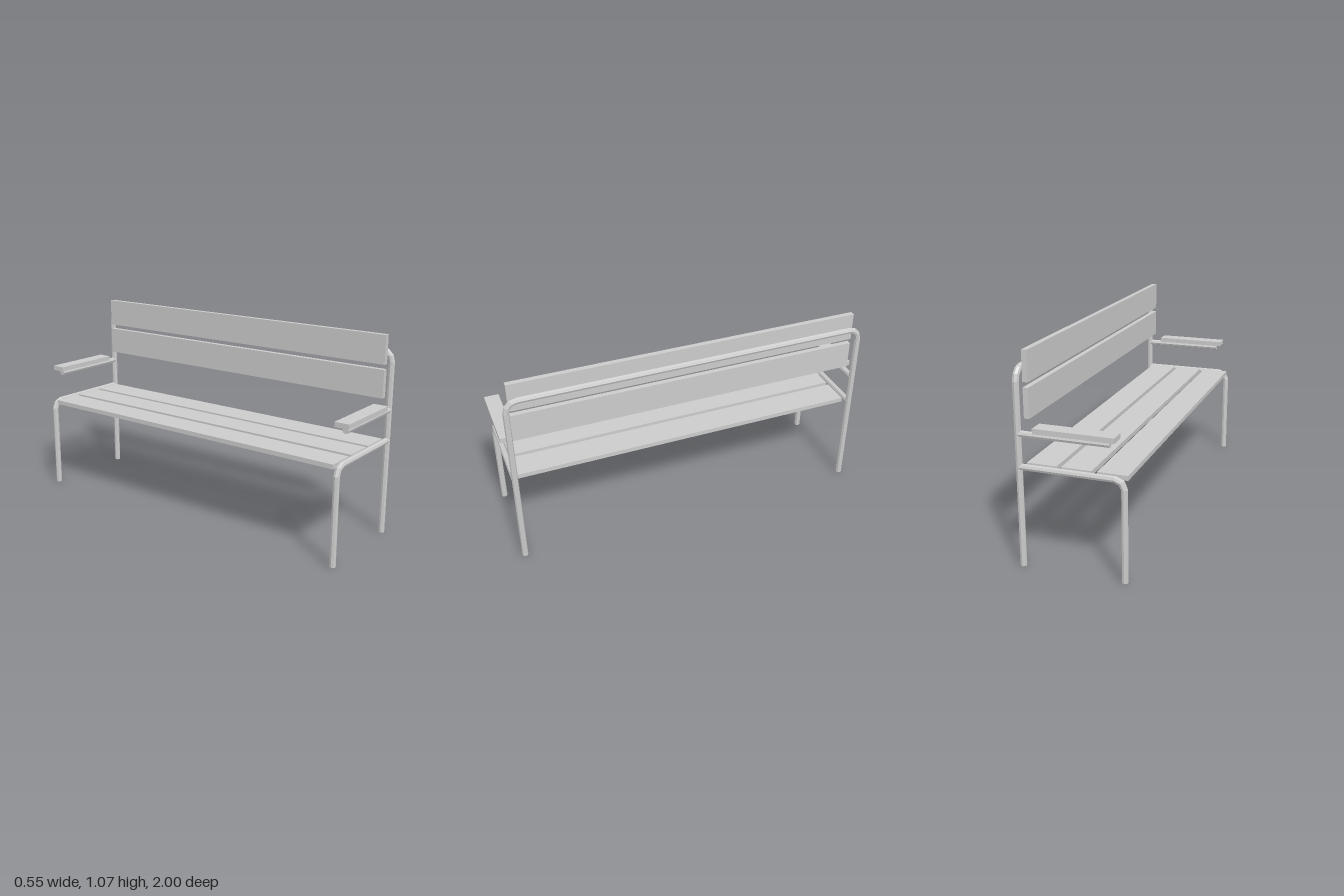
import * as THREE from 'three';

const R = 0.0165, SIDES = 8;
const material = new THREE.MeshStandardMaterial({ color: 0xcccccc, flatShading: true });

// Mitred, capped pipe along a path lying in the plane with the given normal
function pipe(name, path, normal) {
  const pos = [], index = [], n = path.length;
  path.forEach((p, i) => {
    const din = p.clone().sub(path[Math.max(i - 1, 0)]).normalize();
    const dout = path[Math.min(i + 1, n - 1)].clone().sub(p).normalize();
    const t = din.clone().add(dout).normalize();
    const mitre = 1 / t.dot(i ? din : dout);
    const side = new THREE.Vector3().crossVectors(t, normal).multiplyScalar(mitre);
    for (let k = 0; k < SIDES; k++) {
      const a = (k / SIDES) * Math.PI * 2;
      pos.push(...p.clone().addScaledVector(normal, R * Math.cos(a)).addScaledVector(side, R * Math.sin(a)).toArray());
    }
  });
  for (let i = 0; i < n - 1; i++) {
    for (let k = 0; k < SIDES; k++) {
      const a = i * SIDES + k, b = i * SIDES + (k + 1) % SIDES;
      index.push(a, b, b + SIDES, a, b + SIDES, a + SIDES);
    }
  }
  const last = (n - 1) * SIDES;
  for (let k = 1; k < SIDES - 1; k++) {
    index.push(0, k + 1, k, last, last + k, last + k + 1);
  }
  const geometry = new THREE.BufferGeometry();
  geometry.setAttribute('position', new THREE.Float32BufferAttribute(pos, 3));
  geometry.setIndex(index);
  geometry.computeVertexNormals();
  const mesh = new THREE.Mesh(geometry, material);
  mesh.name = name;
  return mesh;
}

// Plank given by its extents on each axis
function plank(name, [x0, x1], [y0, y1], [z0, z1]) {
  const mesh = new THREE.Mesh(new THREE.BoxGeometry(x1 - x0, y1 - y0, z1 - z0), material);
  mesh.position.set((x0 + x1) / 2, (y0 + y1) / 2, (z0 + z1) / 2);
  mesh.name = name;
  return mesh;
}

// Points of a quarter bend, from upright to level, as (u, y) pairs
function bend(cu, cy, r, segments) {
  return Array.from({ length: segments + 1 }, (_, i) => {
    const a = (i / segments) * Math.PI / 2;
    return [cu + r * Math.cos(a), cy + r * Math.sin(a)];
  });
}

export function createModel() {
  const bench = new THREE.Group();
  bench.name = 'bench';
  const X = new THREE.Vector3(1, 0, 0), Z = new THREE.Vector3(0, 0, 1);
  const backX = 0.26, sideZ = 0.965, length = [-0.936, 0.948];

  // Rear hoop: both back legs and the top rail
  const corner = bend(0.905, 0.924, 0.06, 3);
  const hoop = [[sideZ, 0], ...corner, ...corner.map(([z, y]) => [-z, y]).reverse(), [-sideZ, 0]];
  bench.add(pipe('backFrame', hoop.map(([z, y]) => new THREE.Vector3(backX, y, z)), X));

  // Front leg with seat rail, arm rail and armrest on each side
  for (const s of [-1, 1]) {
    const z = s * sideZ;
    const leg = [[0.262, 0], ...bend(0.215, 0.465, 0.047, 2), [-backX, 0.512]];
    bench.add(pipe('frontLegAndSeatRail', leg.map(([u, y]) => new THREE.Vector3(-u, y, z)), Z));
    bench.add(pipe('armRail', [new THREE.Vector3(-0.195, 0.676, z), new THREE.Vector3(backX, 0.676, z)], Z));
    bench.add(plank('armrest', [-0.228, 0.171], [0.694, 0.72], [s * 0.961 - 0.039, s * 0.961 + 0.039]));
  }

  // Seat slats
  for (const x of [-0.269, -0.091, 0.084]) {
    bench.add(plank('seatSlat', [x, x + 0.152], [0.5, 0.524], length));
  }

  // Backrest slats
  bench.add(plank('lowerBackSlat', [0.214, 0.241], [0.741, 0.89], length));
  bench.add(plank('upperBackSlat', [0.214, 0.241], [0.916, 1.068], length));
  return bench;
}
